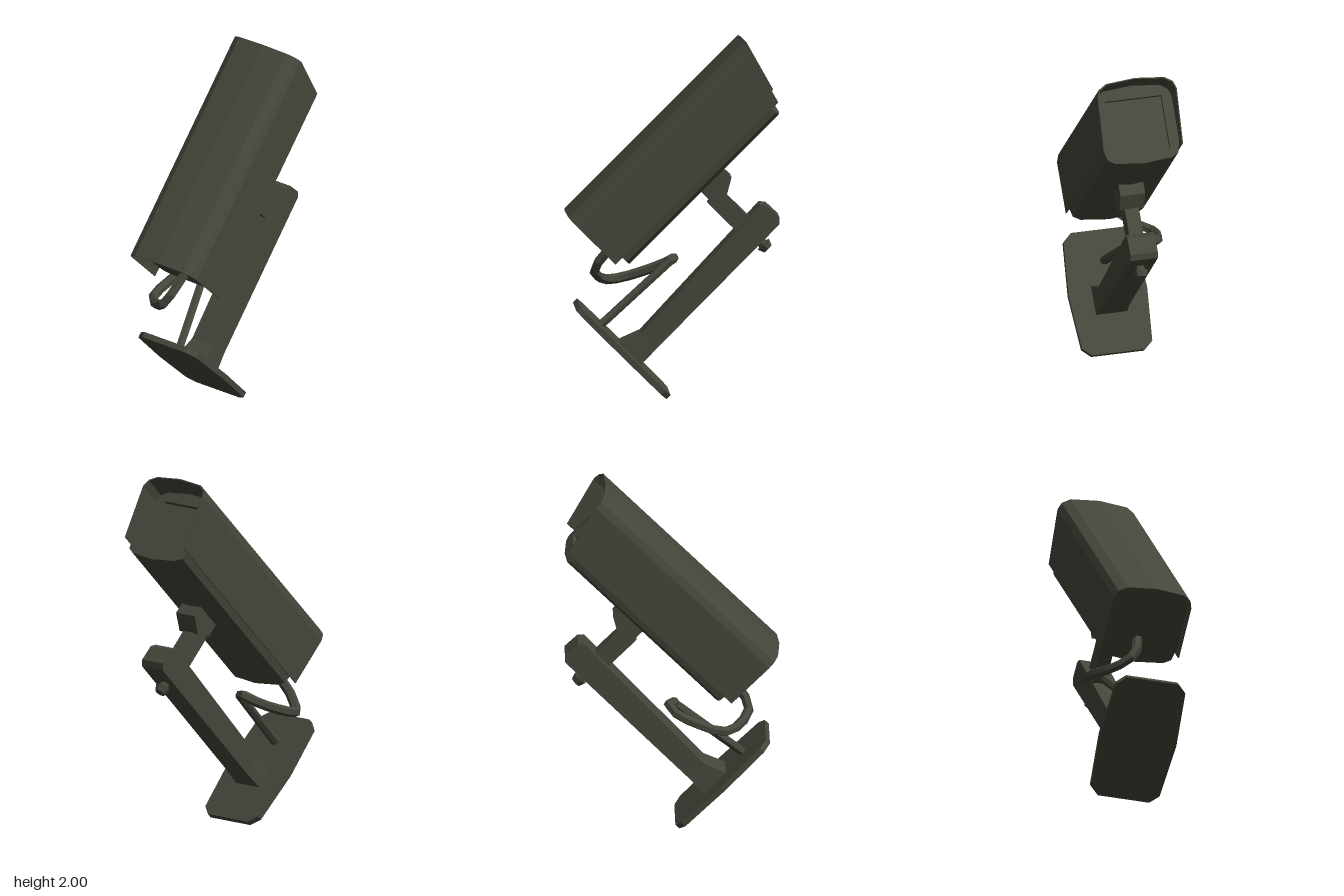
import * as THREE from 'three';

const darkMetal = new THREE.MeshStandardMaterial({ color: 0x46453b, flatShading: true });
darkMetal.name = 'dark olive metal';

const toShape = (pts) => new THREE.Shape(pts.map(([a, b]) => new THREE.Vector2(a, b)));
const mirrored = (half) => [...half, ...half.filter(([a]) => a > 0).reverse().map(([a, b]) => [-a, b])];

function part(name, geometry) {
  const mesh = new THREE.Mesh(geometry, darkMetal);
  mesh.name = name;
  return mesh;
}

// Cross-section (width, height) swept along x from x0 to x1
function alongX(shape, x0, x1) {
  const g = new THREE.ExtrudeGeometry(shape, { depth: x1 - x0, bevelEnabled: false });
  return g.rotateY(Math.PI / 2).translate(x0, 0, 0);
}

// Side profile (x, y) extruded symmetrically across z
function acrossZ(pts, half) {
  const g = new THREE.ExtrudeGeometry(toShape(pts), { depth: half * 2, bevelEnabled: false });
  return g.translate(0, 0, -half);
}

// Apply a rule to every vertex
function moveVertices(g, rule) {
  const p = g.attributes.position;
  const v = new THREE.Vector3();
  for (let i = 0; i < p.count; i++) {
    rule(v.fromBufferAttribute(p, i));
    p.setXYZ(i, v.x, v.y, v.z);
  }
  g.computeVertexNormals();
  return g;
}

export function createModel() {
  const root = new THREE.Group();
  root.name = 'securityCamera';

  // Everything rigid is built level, then tilted by 45 degrees
  const tilted = new THREE.Group();
  tilted.name = 'tiltedAssembly';
  tilted.rotation.z = Math.PI / 4;
  tilted.position.z = 0.035;
  root.add(tilted);

  // Housing with a recessed front window
  const section = mirrored([[0, 0.704], [0.16, 0.72], [0.2, 0.743], [0.217, 0.81],
    [0.217, 1.07], [0.202, 1.108], [0.163, 1.137], [0, 1.152]]);
  tilted.add(part('housing', alongX(toShape(section), 0.364, 1.51)));
  const rim = toShape(section);
  rim.holes.push(new THREE.Path([[-0.16, 0.772], [-0.16, 1.078], [0.16, 1.078], [0.16, 0.772]]
    .map(([a, b]) => new THREE.Vector2(a, b))));
  tilted.add(part('windowFrame', alongX(rim, 1.51, 1.534)));

  // Thin sun hood, open below, with front cheeks cut back
  const arch = [[0.225, 0.78], [0.225, 1.075], [0.21, 1.117], [0.165, 1.145], [0, 1.16]];
  const outer = [...arch, ...arch.slice(0, -1).reverse().map(([a, b]) => [-a, b])];
  const inner = outer.map(([a, b]) => [a - Math.sign(a) * 0.006, b > 0.8 ? b - 0.006 : b]).reverse();
  const hood = moveVertices(alongX(toShape([...outer, ...inner]), 0.312, 1.669), (v) => {
    if (v.x > 1) v.x -= Math.max(0, 1.075 - v.y) * 0.286;
  });
  tilted.add(part('sunHood', hood));

  // Mount under the housing and its swivel neck
  tilted.add(part('mountBlock', acrossZ(
    [[0.92, 0.73], [0.92, 0.63], [1.0, 0.587], [1.096, 0.643], [1.09, 0.73]], 0.07)));
  const neck = new THREE.BoxGeometry(0.105, 0.24, 0.08).translate(0.952, 0.51, 0);
  tilted.add(part('swivelNeck', neck));

  // Support arm with a clipped end and a flared foot
  tilted.add(part('supportArm', acrossZ(
    [[0.13, 0.263], [1.096, 0.269], [1.124, 0.297], [1.121, 0.392], [1.096, 0.42], [0.13, 0.383]], 0.078)));
  const foot = moveVertices(acrossZ([[0, 0.262], [0.13, 0.263], [0.13, 0.383], [0, 0.431]], 0.078),
    (v) => { if (v.x < 0.05) v.z *= 1.14; });
  tilted.add(part('armFoot', foot));

  // Pivot bolt below the arm
  const shank = new THREE.CylinderGeometry(0.027, 0.027, 0.05, 8).translate(0.95, 0.255, 0);
  const head = new THREE.CylinderGeometry(0.043, 0.03, 0.035, 8).translate(0.95, 0.225, 0);
  tilted.add(part('boltShank', shank), part('boltHead', head));

  // Wall plate with clipped corners and bowed sides
  const plate = mirrored([[0, 0.035], [0.15, 0.035], [0.2, 0.08], [0.223, 0.388], [0.2, 0.695], [0.15, 0.742], [0, 0.742]]);
  tilted.add(part('wallPlate', alongX(toShape(plate), -0.028, 0.004)));

  // Cable looping out of the housing and back, then straight into the plate
  const loop = new THREE.CatmullRomCurve3([
    [-0.32, 0.86, 0.02], [-0.43, 0.7, -0.04], [-0.385, 0.635, -0.13], [-0.29, 0.62, -0.225],
    [-0.15, 0.66, -0.215], [-0.03, 0.71, -0.185], [0.015, 0.745, -0.13], [-0.02, 0.735, -0.06],
  ].map((p) => new THREE.Vector3(...p)), false, 'centripetal');
  root.add(part('cableLoop', new THREE.TubeGeometry(loop, 12, 0.028, 6)));
  const lead = new THREE.LineCurve3(new THREE.Vector3(0.0, 0.745, -0.07), new THREE.Vector3(-0.41, 0.39, 0.03));
  root.add(part('cableLead', new THREE.TubeGeometry(lead, 1, 0.025, 6)));

  return root;
}
